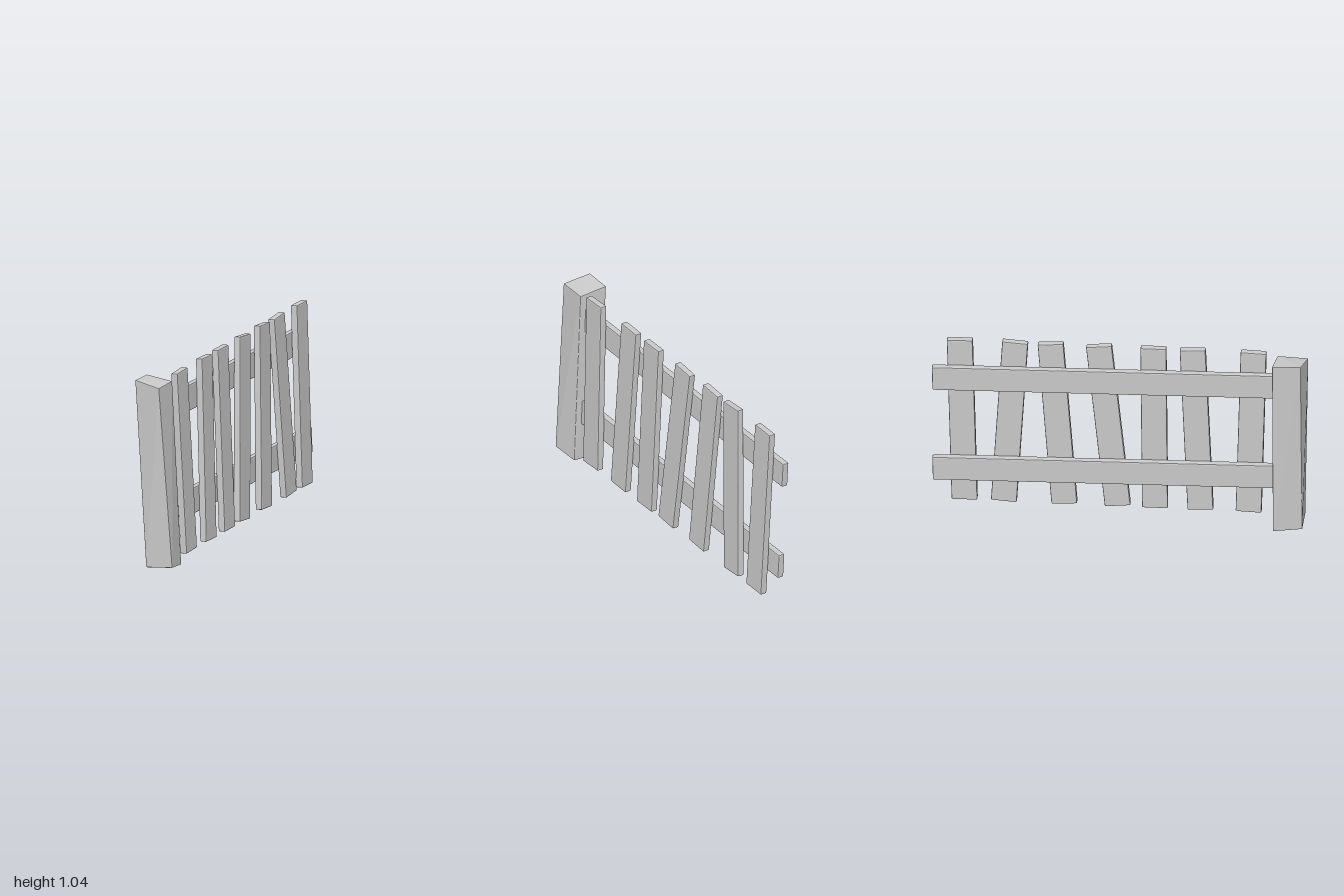
import * as THREE from 'three';
import { RoundedBoxGeometry } from 'three/addons/geometries/RoundedBoxGeometry.js';

const material = new THREE.MeshStandardMaterial({ color: 0xcccccc, flatShading: true });
const LEAN = 0.042; // the whole fence leans sideways

// Chamfered plank, leaning about z and tilted about x
function plank(name, size, position, tilt) {
  const mesh = new THREE.Mesh(new RoundedBoxGeometry(...size, 1, 0.006), material);
  mesh.name = name;
  mesh.position.set(...position);
  mesh.rotation.set(tilt, 0, LEAN);
  return mesh;
}

// Irregular post: a chamfered box blended between eight corners
function createPost() {
  const size = [0.15, 1, 0.15];
  const corners = [ // index = x + 2y + 4z
    [-0.06, 0.004, 0.82], [0.093, 0.012, 0.825],
    [-0.11, 1.03, 0.82], [0.045, 1.013, 0.835],
    [-0.045, 0.017, 0.975], [0.108, 0.03, 0.978],
    [-0.11, 1.035, 0.972], [0.04, 1.01, 1.0],
  ].map((c) => new THREE.Vector3(...c));
  const geometry = new RoundedBoxGeometry(...size, 1, 0.004);
  const p = geometry.attributes.position;
  for (let i = 0; i < p.count; i++) {
    const t = [p.getX(i), p.getY(i), p.getZ(i)].map((v, k) => v / size[k] + 0.5);
    const out = new THREE.Vector3();
    corners.forEach((c, n) => {
      const weight = t.reduce((w, v, k) => w * ((n >> k) & 1 ? v : 1 - v), 1);
      out.addScaledVector(c, weight);
    });
    p.setXYZ(i, out.x, out.y, out.z);
  }
  geometry.computeVertexNormals();
  const mesh = new THREE.Mesh(geometry, material);
  mesh.name = 'post';
  return mesh;
}

export function createModel() {
  const fence = new THREE.Group();
  fence.name = 'fence';
  fence.add(createPost());

  // Two rails, sinking slightly away from the post
  fence.add(plank('upperRail', [0.037, 0.14, 1.85], [0, 0.836, -0.072], -0.021));
  fence.add(plank('lowerRail', [0.037, 0.14, 1.85], [0.026, 0.277, -0.072], -0.021));

  // Crooked pickets: z at the top, z at the bottom
  const pickets = [
    [0.71, 0.68], [0.386, 0.424], [0.177, 0.182], [-0.113, -0.016],
    [-0.37, -0.3], [-0.558, -0.622], [-0.853, -0.831],
  ];
  pickets.forEach(([top, bottom], i) => {
    const tilt = Math.atan((top - bottom) / 0.99);
    fence.add(plank(`picket${i + 1}`, [0.038, 0.99, 0.137],
      [0.051, 0.546, (top + bottom) / 2], tilt));
  });
  return fence;
}
